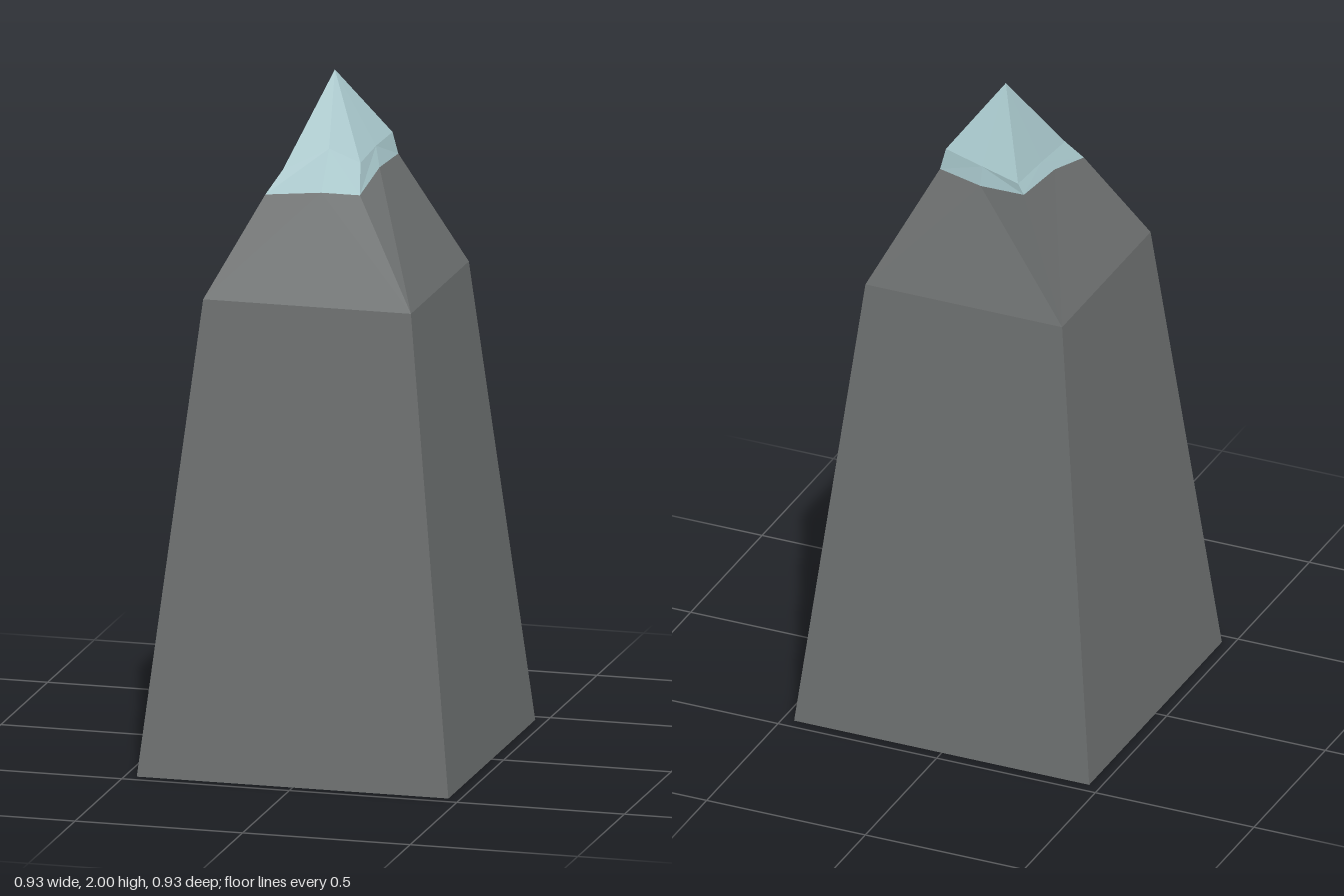
import * as THREE from 'three';

// Rings of eight points, starting at the front right (+x, +z) corner and
// running corner, mid-side, corner... through right, back, left and front.
const squareRing = (h, y) => [
  [h, y, h], [h, y, 0], [h, y, -h], [0, y, -h],
  [-h, y, -h], [-h, y, 0], [-h, y, h], [0, y, h],
];

// Joins successive rings into bands of outward facing flat triangles
function loft(rings) {
  const pos = [];
  for (let r = 0; r + 1 < rings.length; r++) {
    const lo = rings[r], hi = rings[r + 1];
    for (let i = 0; i < 8; i++) {
      const j = (i + 1) % 8;
      // Mirror the diagonal on alternate quads so each side is symmetrical
      const tris = i % 2
        ? [lo[i], lo[j], hi[i], lo[j], hi[j], hi[i]]
        : [lo[i], lo[j], hi[j], lo[i], hi[j], hi[i]];
      pos.push(...tris.flat());
    }
  }
  return pos;
}

// Closes a ring with a fan to one point, facing up or down
function fan(ring, tip, up) {
  return ring.flatMap((p, i) => {
    const q = ring[(i + 1) % 8];
    return up ? [...p, ...q, ...tip] : [...q, ...p, ...tip];
  });
}

function flatMesh(name, positions, material) {
  const geometry = new THREE.BufferGeometry();
  geometry.setAttribute('position', new THREE.Float32BufferAttribute(positions, 3));
  geometry.computeVertexNormals();
  const mesh = new THREE.Mesh(geometry, material);
  mesh.name = name;
  return mesh;
}

export function createModel() {
  const rock = new THREE.MeshStandardMaterial({ color: 0x6c6f6f });
  rock.name = 'rock grey';
  const ice = new THREE.MeshStandardMaterial({ color: 0xa6c5c9 });
  ice.name = 'pale ice blue';

  const base = squareRing(0.465, 0);
  const shoulder = squareRing(0.31, 1.39);
  // Uneven line where the ice begins
  const iceLine = [
    [0.115, 1.69, 0.157], [0.13, 1.735, 0], [0.14, 1.735, -0.165], [0, 1.725, -0.193],
    [-0.143, 1.735, -0.207], [-0.147, 1.715, 0], [-0.165, 1.675, 0.165], [0, 1.69, 0.158],
  ];
  // Bend in the slope just above the ice line
  const bend = [
    [0.1, 1.77, 0.097], [0.111, 1.79, -0.03], [0.125, 1.8, -0.157], [0, 1.782, -0.18],
    [-0.123, 1.765, -0.203], [-0.124, 1.755, -0.04], [-0.125, 1.74, 0.122], [0, 1.8, 0.075],
  ];

  const group = new THREE.Group();
  group.name = 'rockSpire';
  group.add(
    flatMesh('rockBody', [...fan(base, [0, 0, 0], false), ...loft([base, shoulder, iceLine])], rock),
    flatMesh('iceCap', [...loft([iceLine, bend]), ...fan(bend, [-0.02, 2, -0.06], true)], ice),
  );
  return group;
}
